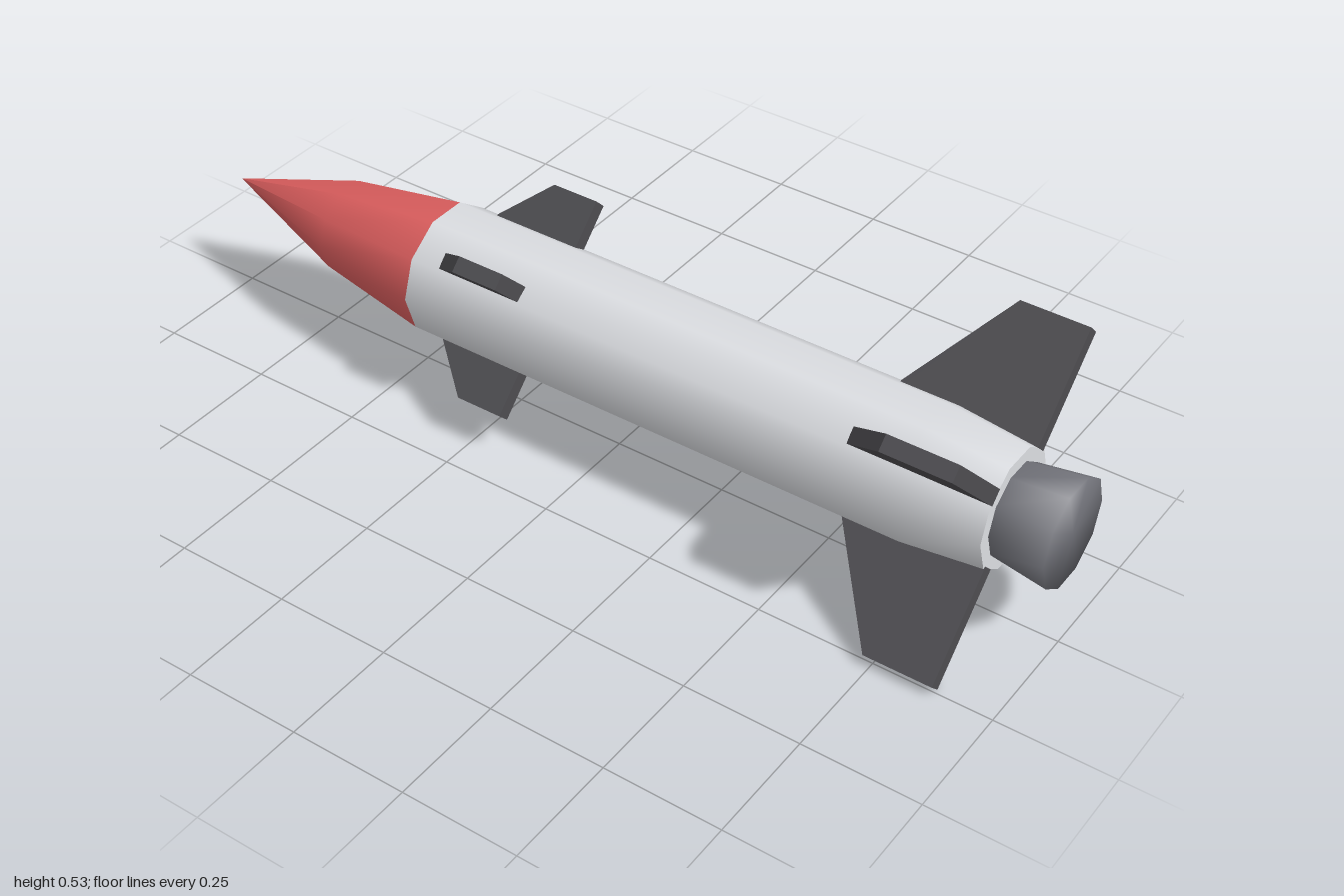
import * as THREE from 'three';

const SIDES = 10;
const CENTRE_Y = 0.266;

function material(name, color) {
  const m = new THREE.MeshStandardMaterial({ color });
  m.name = name;
  return m;
}

// Smooth ten-sided solid of revolution along z; profile holds [radius, z] with z rising
function revolve(name, profile, mat) {
  const points = profile.map(([r, z]) => new THREE.Vector2(r, z));
  const geometry = new THREE.LatheGeometry(points, SIDES, Math.PI / 2);
  geometry.rotateX(Math.PI / 2);
  const mesh = new THREE.Mesh(geometry, mat);
  mesh.name = name;
  return mesh;
}

// Four flat fins in an X; outline holds [distance from axis, z]
function finSet(name, outline, thickness, mat) {
  const shape = new THREE.Shape(outline.map(([r, z]) => new THREE.Vector2(r, z)));
  const geometry = new THREE.ExtrudeGeometry(shape, { depth: thickness, bevelEnabled: false });
  geometry.translate(0, 0, -thickness / 2);
  geometry.rotateX(Math.PI / 2);
  const set = new THREE.Group();
  set.name = name + 's';
  for (let i = 0; i < 4; i++) {
    const fin = new THREE.Mesh(geometry, mat);
    fin.name = name;
    fin.rotation.z = Math.PI / 4 + i * Math.PI / 2;
    set.add(fin);
  }
  return set;
}

export function createModel() {
  const white = material('body white', 0xdcdee2);
  const red = material('nose red', 0xe06060);
  const dark = material('fin charcoal', 0x4d4c50);
  const grey = material('nozzle grey', 0x707178);

  const rocket = new THREE.Group();
  rocket.name = 'rocket';
  rocket.position.y = CENTRE_Y;

  // Fuselage: nose, straight tube with tapered tail, flat tail plate, nozzle
  rocket.add(
    revolve('noseCone', [[0, -1], [0.1, -0.69], [0.142, -0.43]], red),
    revolve('body', [[0.142, -0.43], [0.142, 0.71], [0.125, 0.88]], white),
    revolve('tailPlate', [[0.125, 0.88], [0, 0.88]], white),
    revolve('nozzle', [[0.095, 0.87], [0.113, 1], [0, 1]], grey)
  );

  // Large tail fins and small forward fins
  rocket.add(
    finSet('tailFin', [[0.118, 0.585], [0.137, 0.585], [0.357, 0.735], [0.357, 0.881], [0.118, 0.881]], 0.034, dark),
    finSet('forwardFin', [[0.118, -0.365], [0.137, -0.365], [0.236, -0.272], [0.236, -0.167], [0.118, -0.167]], 0.034, dark)
  );

  const model = new THREE.Group();
  model.name = 'model';
  model.add(rocket);
  return model;
}
